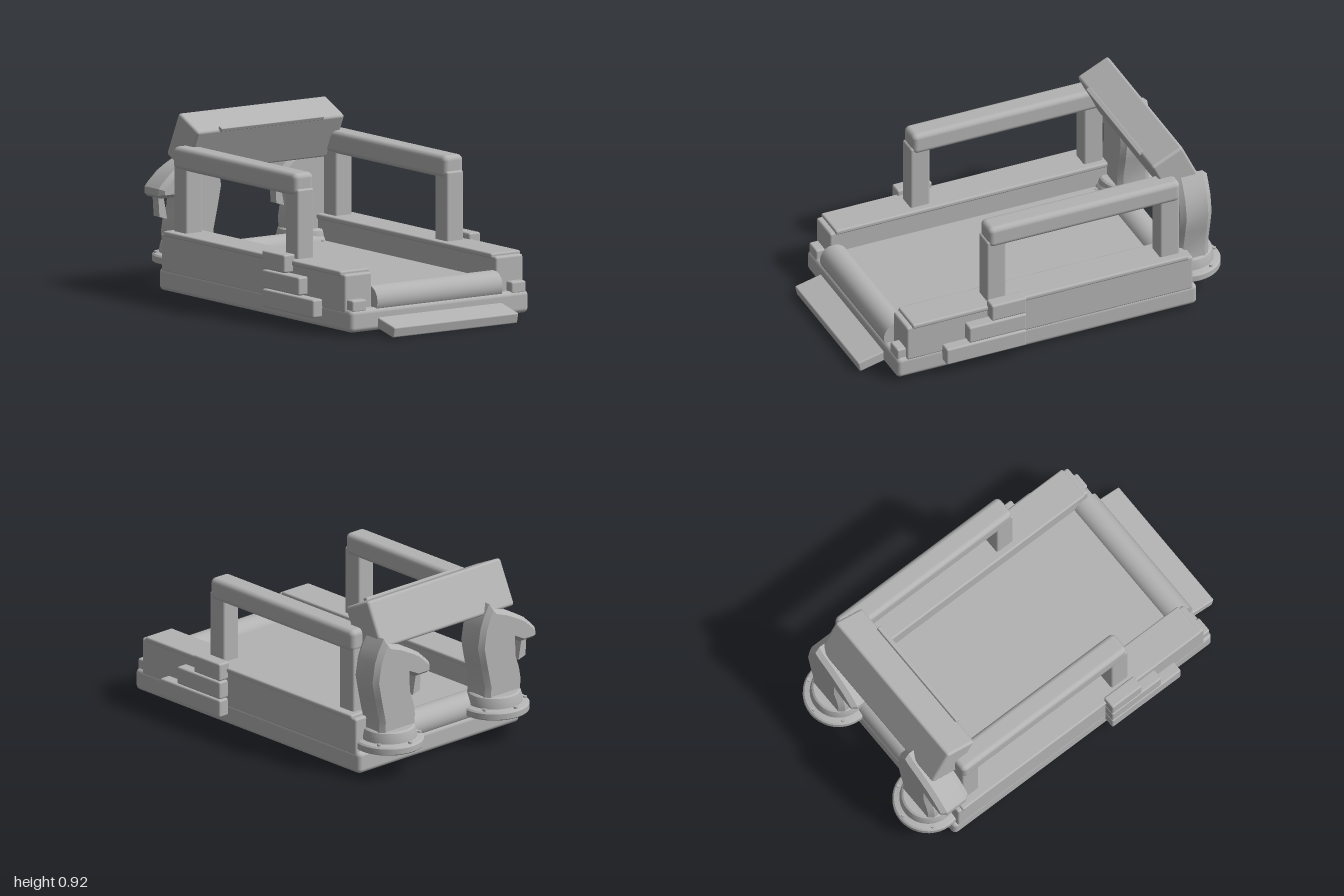
import * as THREE from 'three';
import { toCreasedNormals } from 'three/addons/utils/BufferGeometryUtils.js';
import { RoundedBoxGeometry } from 'three/addons/geometries/RoundedBoxGeometry.js';

const grey = new THREE.MeshStandardMaterial({ color: 0xb3b3b3 });
grey.name = 'plain grey';

function add(parent, name, geometry) {
  const mesh = new THREE.Mesh(geometry, grey);
  mesh.name = name;
  parent.add(mesh);
  return mesh;
}

// Rounded box given by its limits on each axis
function block(parent, name, [x0, x1], [y0, y1], [z0, z1], r = 0.01) {
  const mesh = add(parent, name, new RoundedBoxGeometry(x1 - x0, y1 - y0, z1 - z0, 3, r));
  mesh.position.set((x0 + x1) / 2, (y0 + y1) / 2, (z0 + z1) / 2);
  return mesh;
}

function polygon(points) {
  return new THREE.Shape(points.map(([x, y]) => new THREE.Vector2(x, y)));
}

// Horse-head stand with its snout towards -x
function horseStand() {
  const stand = new THREE.Group();
  stand.name = 'horseStand';

  // Round foot with a stepped collar
  const foot = [[0, 0.15], [0.176, 0.15], [0.18, 0.155], [0.18, 0.184], [0.172, 0.192],
    [0.145, 0.198], [0.142, 0.225], [0.135, 0.25], [0.125, 0.257], [0, 0.257]]
    .map(([x, y]) => new THREE.Vector2(x, y));
  add(stand, 'foot', toCreasedNormals(new THREE.LatheGeometry(foot, 40), 0.5));

  // Bolts around the foot
  for (let i = 0; i < 6; i++) {
    const a = (i + 0.5) * Math.PI / 3;
    const bolt = add(stand, 'bolt', new THREE.CylinderGeometry(0.01, 0.01, 0.012, 8));
    bolt.position.set(Math.cos(a) * 0.16, 0.198, Math.sin(a) * 0.16);
  }

  // Neck and head in profile with chamfered sides
  const head = polygon([[-0.12, 0.23], [0.12, 0.23], [0.115, 0.31], [0.142, 0.43], [0.162, 0.53],
    [0.145, 0.63], [0.12, 0.69], [0.085, 0.75], [0.05, 0.715], [-0.02, 0.69], [-0.10, 0.65],
    [-0.15, 0.62], [-0.205, 0.57], [-0.227, 0.545], [-0.227, 0.51], [-0.21, 0.495],
    [-0.125, 0.495], [-0.082, 0.523], [-0.09, 0.44], [-0.115, 0.37], [-0.125, 0.31]]);
  const geo = new THREE.ExtrudeGeometry(head, {
    depth: 0.12, bevelEnabled: true, bevelSize: 0.02, bevelOffset: -0.02,
    bevelThickness: 0.027, bevelSegments: 1,
  });
  geo.translate(0, 0, -0.056);
  add(stand, 'horseHead', toCreasedNormals(geo, 0.4));

  // Thin tapering piece below the jaw
  const chin = new THREE.ExtrudeGeometry(
    polygon([[-0.20, 0.50], [-0.193, 0.395], [-0.145, 0.38], [-0.17, 0.51]]),
    { depth: 0.05, bevelEnabled: false });
  chin.translate(0, 0, -0.025);
  add(stand, 'chin', chin);
  return stand;
}

export function createModel() {
  const model = new THREE.Group();
  model.name = 'treadmill';

  block(model, 'base', [-0.555, 0.555], [0.022, 0.138], [-0.805, 0.858], 0.025);

  // Running deck between two raised rollers
  block(model, 'deck', [-0.39, 0.39], [0.12, 0.2], [-0.735, 0.785], 0.003);
  for (const z of [0.783, -0.733]) {
    const roller = add(model, 'roller', new THREE.CylinderGeometry(0.075, 0.075, 0.78, 32));
    roller.rotation.z = Math.PI / 2;
    roller.position.set(0, 0.17, z);
  }

  // Sloping entry plate
  const ramp = block(model, 'entryRamp', [-0.387, 0.387], [0.021, 0.077], [0.815, 0.997], 0.008);
  ramp.rotation.x = 0.23;

  for (const s of [-1, 1]) {
    const side = new THREE.Group();
    side.name = s > 0 ? 'leftSide' : 'rightSide';
    model.add(side);
    const span = (a, b) => (s > 0 ? [a, b] : [-b, -a]);

    block(side, 'sideRail', span(0.385, 0.555), [0.12, 0.315], [-0.78, 0.805], 0.012);
    block(side, 'railCap', span(0.377, 0.562), [0.303, 0.33], [-0.755, 0.775], 0.01);
    block(side, 'frontLug', span(0.45, 0.54), [0.125, 0.187], [0.79, 0.852], 0.01);

    // Stacked side steps
    [0.61, 0.485, 0.36].forEach((z, i) =>
      block(side, 'step', span(0.54, 0.612), [0.072 + i * 0.098, 0.165 + i * 0.098], [0.168, z], 0.01));

    // Handrail on two posts
    block(side, 'handrail', span(0.404, 0.527), [0.648, 0.764], [-0.725, 0.335], 0.028);
    block(side, 'frontPost', span(0.413, 0.517), [0.3, 0.685], [0.238, 0.345], 0.012);
    block(side, 'rearPost', span(0.413, 0.517), [0.3, 0.685], [-0.722, -0.615], 0.012);

    const stand = horseStand();
    stand.position.set(s > 0 ? 0.367 : -0.36, 0, -0.82);
    model.add(stand);
  }

  // Tilted console with a thin ledge along its upper front edge
  const consoleGroup = new THREE.Group();
  consoleGroup.name = 'console';
  consoleGroup.position.set(0, 0.775, -0.73);
  consoleGroup.rotation.x = 0.44;
  block(consoleGroup, 'consoleBody', [-0.458, 0.458], [-0.13, 0.12], [-0.094, 0.093], 0.015);
  block(consoleGroup, 'ledge', [-0.32, 0.32], [0.112, 0.133], [0.075, 0.102], 0.004);
  model.add(consoleGroup);

  return model;
}
